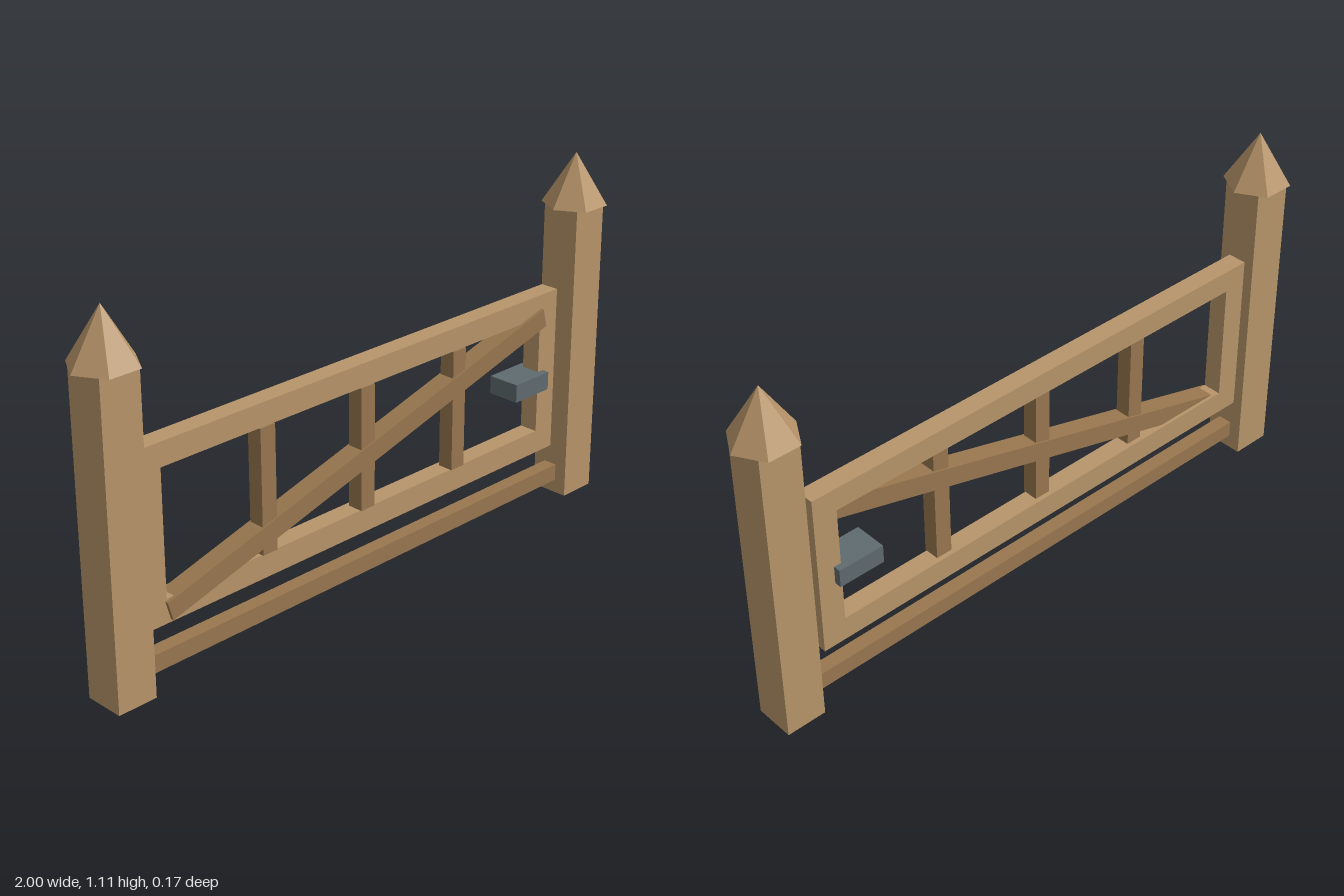
import * as THREE from 'three';

const material = (color) => new THREE.MeshStandardMaterial({ color, flatShading: true });

export function createModel() {
  const gate = new THREE.Group();
  gate.name = 'gate';
  const wood = material(0xb8956a);
  const darkWood = material(0x98774f);
  const metal = material(0x5f6b70);

  const add = (name, geometry, mat, x, y, z, parent = gate) => {
    const mesh = new THREE.Mesh(geometry, mat);
    mesh.name = name;
    mesh.position.set(x, y, z);
    parent.add(mesh);
    return mesh;
  };
  const box = (w, h, d) => new THREE.BoxGeometry(w, h, d);

  // Square posts with six-sided pointed caps
  for (const [side, sign] of [['left', 1], ['right', -1]]) {
    const post = new THREE.Group();
    post.name = side + 'Post';
    post.position.x = sign * 0.9;
    gate.add(post);
    add(side + 'PostShaft', box(0.125, 0.947, 0.125), wood, 0, 0.4735, 0, post);
    const cap = new THREE.ConeGeometry(0.1, 0.16, 6).rotateY(Math.PI / 6);
    add(side + 'PostCap', cap, wood, 0, 1.027, 0, post);
  }

  // Low rail joining the posts
  add('lowerRail', box(1.68, 0.054, 0.045), darkWood, 0, 0.07, 0);

  // Rectangular gate frame with one large opening
  const rect = (path, x0, y0, x1, y1) =>
    path.moveTo(x0, y0).lineTo(x1, y0).lineTo(x1, y1).lineTo(x0, y1).closePath();
  const outline = new THREE.Shape();
  rect(outline, -0.84, 0.18, 0.798, 0.704);
  const opening = new THREE.Path();
  rect(opening, -0.763, 0.254, 0.722, 0.633);
  outline.holes.push(opening);
  const frame = new THREE.ExtrudeGeometry(outline, { depth: 0.06, bevelEnabled: false });
  add('gateFrame', frame, wood, 0, 0, -0.03);

  // Upright slats inside the frame
  for (let i = 0; i < 3; i++) {
    add('slat' + (i + 1), box(0.053, 0.379, 0.05), darkWood, -0.4 + i * 0.378, 0.4435, 0.01);
  }

  // Diagonal brace
  const brace = add('brace', box(1.55, 0.06, 0.06), darkWood, -0.013, 0.424, 0.01);
  brace.rotation.z = Math.atan2(0.414, 1.495);

  // Latch block on the closing side
  add('latch', box(0.148, 0.057, 0.105), metal, 0.671, 0.424, 0);

  return gate;
}
